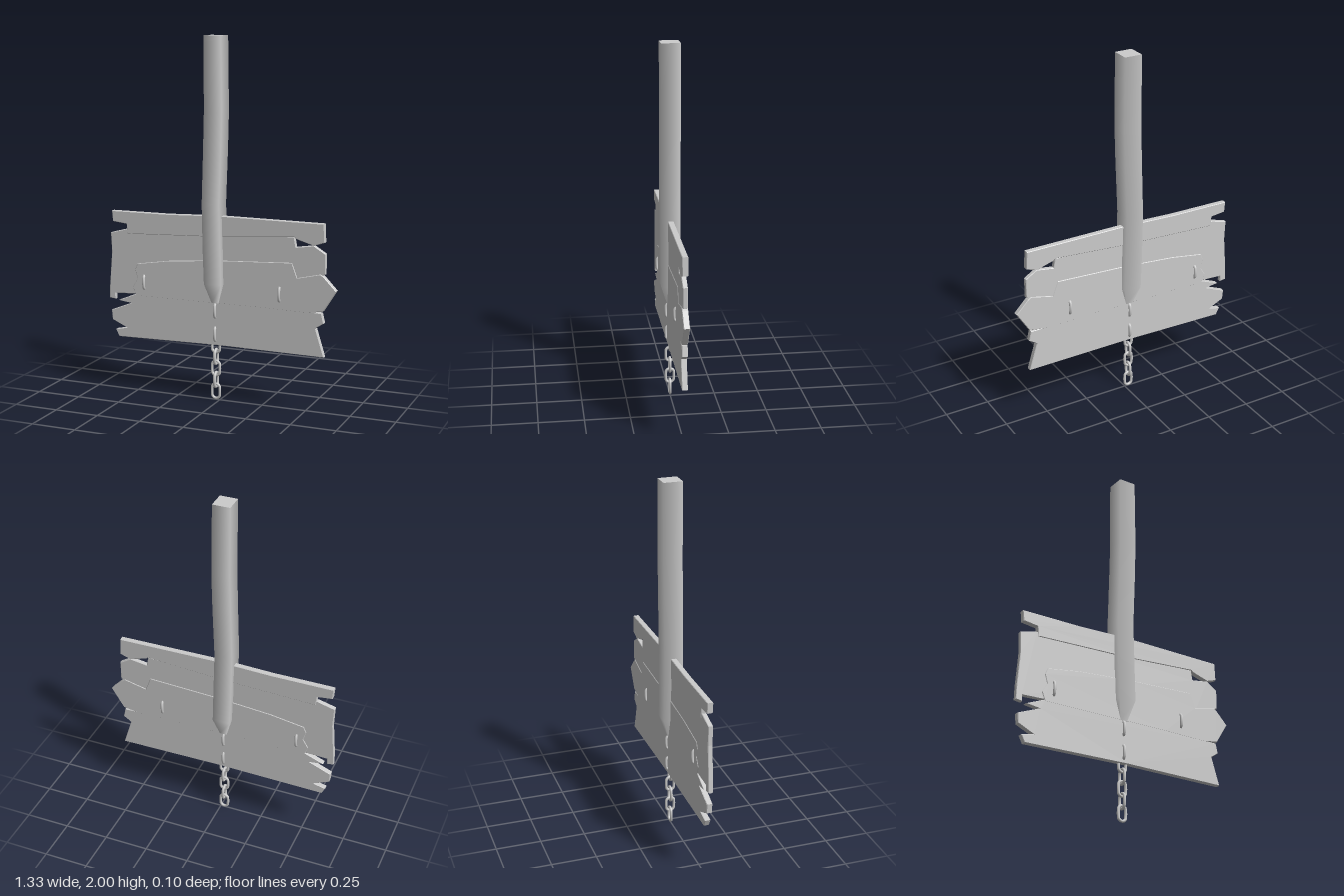
import * as THREE from 'three';

const material = new THREE.MeshStandardMaterial({ color: 0xcccccc });

function addMesh(parent, name, geometry) {
  const mesh = new THREE.Mesh(geometry, material);
  mesh.name = name;
  parent.add(mesh);
  return mesh;
}

// Splintered plank cut from an outline, centred on z = 0
function plank(outline, halfDepth) {
  const bevel = 0.003;
  const shape = new THREE.Shape(outline.map(([x, y]) => new THREE.Vector2(x, y)));
  const geometry = new THREE.ExtrudeGeometry(shape, {
    depth: 2 * (halfDepth - bevel), bevelThickness: bevel,
    bevelSize: bevel, bevelOffset: -bevel, bevelSegments: 1,
  });
  return geometry.translate(0, 0, bevel - halfDepth);
}

// Square beam through rings of [y, centre x, half width, half depth]
function squareBeam(rings) {
  const last = rings.length - 1;
  const geometry = new THREE.CylinderGeometry(Math.SQRT2, Math.SQRT2, 1, 4, last, false, Math.PI / 4);
  const p = geometry.attributes.position;
  for (let i = 0; i < p.count; i++) {
    const [y, cx, hx, hz] = rings[Math.round((0.5 - p.getY(i)) * last)];
    p.setXYZ(i, cx + p.getX(i) * hx, y, p.getZ(i) * hz);
  }
  return geometry;
}

// Oval chain link: a torus pulled apart into two half rings
function chainLink() {
  const geometry = new THREE.TorusGeometry(0.023, 0.008, 8, 20);
  const p = geometry.attributes.position;
  for (let i = 0; i < p.count; i++) {
    const y = p.getY(i);
    if (Math.abs(y) > 1e-5) p.setY(i, y + Math.sign(y) * 0.018);
  }
  return geometry;
}

export function createModel() {
  const model = new THREE.Group();
  model.name = 'hangingSign';

  // Slightly crooked post with a tapered lower end
  addMesh(model, 'post', squareBeam([
    [2.0, -0.022, 0.049, 0.052],
    [1.6, -0.019, 0.051, 0.052],
    [1.4, -0.024, 0.051, 0.052],
    [1.1, -0.034, 0.05, 0.052],
    [0.85, -0.028, 0.051, 0.052],
    [0.66, -0.022, 0.05, 0.052],
    [0.55, -0.021, 0.02, 0.017],
  ]));

  // Board of four broken planks
  const board = new THREE.Group();
  board.name = 'board';
  model.add(board);
  addMesh(board, 'topPlank', plank([
    [-0.645, 1.025], [-0.3, 1.025], [0, 1.035], [0.595, 1.03], [0.6, 0.93], [0.54, 0.91],
    [0.44, 0.94], [0.43, 0.95], [0, 0.92], [-0.55, 0.9], [-0.555, 0.955], [-0.64, 0.965],
  ], 0.016));
  addMesh(board, 'backPlank', plank([
    [-0.655, 0.9], [-0.56, 0.925], [0.43, 0.95], [0.44, 0.895], [0.54, 0.91], [0.605, 0.87],
    [0.605, 0.76], [0.58, 0.75], [0.45, 0.7], [0.3, 0.55], [-0.5, 0.56], [-0.63, 0.555],
    [-0.63, 0.52], [-0.667, 0.525], [-0.665, 0.6], [-0.65, 0.79],
  ], 0.013));
  addMesh(board, 'middlePlank', plank([
    [-0.49, 0.735], [-0.3, 0.765], [0, 0.79], [0.42, 0.81], [0.45, 0.73], [0.58, 0.76],
    [0.6, 0.745], [0.667, 0.675], [0.595, 0.56], [0.5, 0.545], [0.25, 0.55], [-0.5, 0.55],
    [-0.52, 0.6], [-0.49, 0.65], [-0.505, 0.7],
  ], 0.016));
  addMesh(board, 'bottomPlank', plank([
    [-0.61, 0.515], [-0.5, 0.56], [0.25, 0.56], [0.587, 0.55], [0.6, 0.495], [0.555, 0.465],
    [0.603, 0.31], [0, 0.315], [-0.61, 0.305], [-0.63, 0.345], [-0.56, 0.36],
    [-0.65, 0.4], [-0.655, 0.455], [-0.53, 0.505],
  ], 0.0155));

  // Chain of alternately turned links running up through the board
  const chain = new THREE.Group();
  chain.name = 'chain';
  model.add(chain);
  for (let i = 0; i < 8; i++) {
    const link = addMesh(chain, 'chainLink', chainLink());
    link.position.set(-0.022, 0.049 + i * 0.0655, 0);
    link.rotation.y = (i % 2) * Math.PI / 2;
  }

  // Metal loops through the board on each side
  for (const x of [-0.45, 0.35]) {
    const loop = addMesh(model, 'boardLoop', chainLink());
    loop.position.set(x, 0.632, 0);
    loop.rotation.y = Math.PI / 2;
  }
  return model;
}
